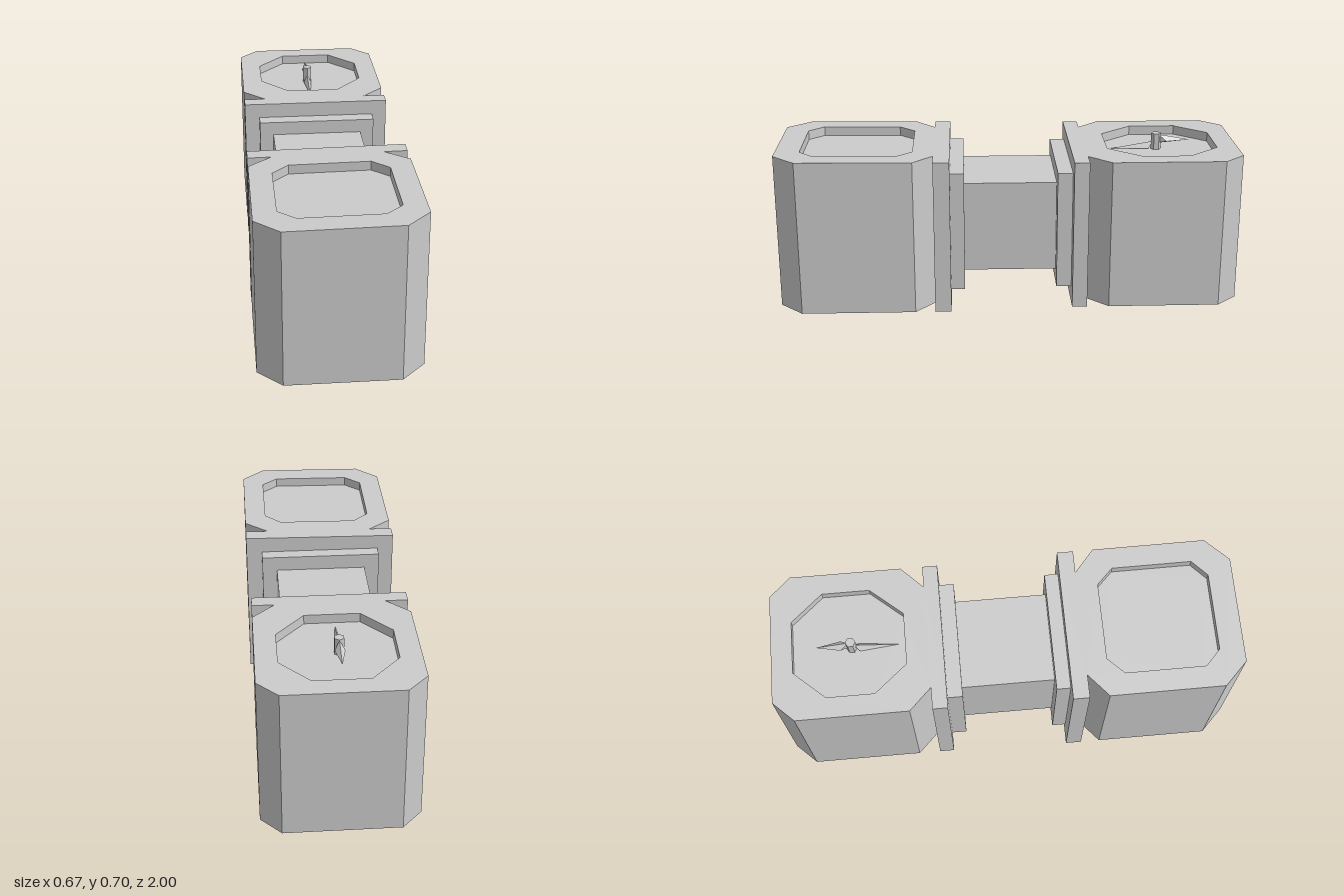
import * as THREE from 'three';
import { mergeGeometries } from 'three/addons/utils/BufferGeometryUtils.js';
import { ConvexGeometry } from 'three/addons/geometries/ConvexGeometry.js';

const material = new THREE.MeshStandardMaterial({ color: 0xcccccc, flatShading: true });

// Completes a right-hand half outline of [x, z] points, listed front to back
const mirrored = half => [...half, ...half.map(([x, z]) => [-x, z]).reverse()];

// Flat polygon facing up (or down) at height y
function cap(points, y, up = true, hole) {
  const vecs = pts => pts.map(([x, z]) => new THREE.Vector2(x, up ? -z : z));
  const shape = new THREE.Shape(vecs(points));
  if (hole) shape.holes.push(new THREE.Path(vecs(hole)));
  const g = new THREE.ShapeGeometry(shape).toNonIndexed();
  g.rotateX(up ? -Math.PI / 2 : Math.PI / 2).translate(0, y, 0);
  return g;
}

// Vertical band around a closed outline
function wall(points, y0, y1) {
  const pos = [];
  points.forEach(([ax, az], i) => {
    const [bx, bz] = points[(i + 1) % points.length];
    pos.push(ax, y0, az, bx, y0, bz, bx, y1, bz, ax, y0, az, bx, y1, bz, ax, y1, az);
  });
  const g = new THREE.BufferGeometry();
  g.setAttribute('position', new THREE.Float32BufferAttribute(pos, 3));
  return g;
}

// Notched block with a shallow recess in its top
function headGeometry(outline, recess, y0, y1, depth) {
  const parts = [
    wall(outline, y0, y1),
    cap(outline, y0, false),
    cap(outline, y1, true, recess),
    wall([...recess].reverse(), y1 - depth, y1),
    cap(recess, y1 - depth),
  ];
  parts.forEach(g => { g.deleteAttribute('uv'); g.deleteAttribute('normal'); });
  const g = mergeGeometries(parts);
  g.computeVertexNormals();
  return g;
}

export function createModel() {
  const group = new THREE.Group();
  const add = (name, geometry) => {
    const mesh = new THREE.Mesh(geometry, material);
    mesh.name = name;
    group.add(mesh);
    return mesh;
  };
  const box = (name, w, y0, y1, z0, z1) =>
    add(name, new THREE.BoxGeometry(w, y1 - y0, z1 - z0)).position.set(0, (y0 + y1) / 2, (z0 + z1) / 2);

  // Front head, with a very slight slope on its top
  const front = headGeometry(
    mirrored([[0.235, 1], [0.335, 0.9], [0.335, 0.41], [0.235, 0.325], [0.335, 0.325], [0.335, 0.255]]),
    mirrored([[0.17, 0.895], [0.24, 0.83], [0.24, 0.485], [0.17, 0.415]]),
    0, 0.675, 0.04);
  const p = front.attributes.position;
  for (let i = 0; i < p.count; i++) {
    if (p.getY(i) > 0.5) p.setY(i, p.getY(i) + 0.012 * p.getX(i) + 0.009 * (p.getZ(i) - 0.63));
  }
  front.computeVertexNormals();
  add('frontHead', front);

  // Back head with an octagonal dial recess
  add('backHead', headGeometry(
    mirrored([[0.325, -0.27], [0.325, -0.335], [0.23, -0.335], [0.325, -0.43], [0.325, -0.91], [0.24, -1]]),
    mirrored([[0.115, -0.43], [0.235, -0.57], [0.235, -0.775], [0.115, -0.91]]),
    0.01, 0.665, 0.04));

  // Collars and grip
  box('frontCollar', 0.53, 0.075, 0.605, 0.195, 0.255);
  box('backCollar', 0.52, 0.08, 0.6, -0.27, -0.205);
  box('grip', 0.4, 0.14, 0.54, -0.205, 0.195);

  // Dial pin and its two pointed blades
  const pin = add('dialPin', new THREE.CylinderGeometry(0.022, 0.022, 0.073, 6));
  pin.position.set(-0.01, 0.66, -0.66);

  const blade = (name, points) =>
    add(name, new ConvexGeometry(points.map(q => new THREE.Vector3(...q))));
  blade('needleTip', [
    [-0.01, 0.69, -0.67], [-0.01, 0.65, -0.66], [-0.031, 0.663, -0.705],
    [0.011, 0.663, -0.705], [-0.01, 0.665, -0.81],
  ]);
  blade('needleTail', [
    [-0.01, 0.66, -0.65], [-0.028, 0.63, -0.625], [0.008, 0.63, -0.625], [-0.01, 0.627, -0.46],
  ]);

  return group;
}
